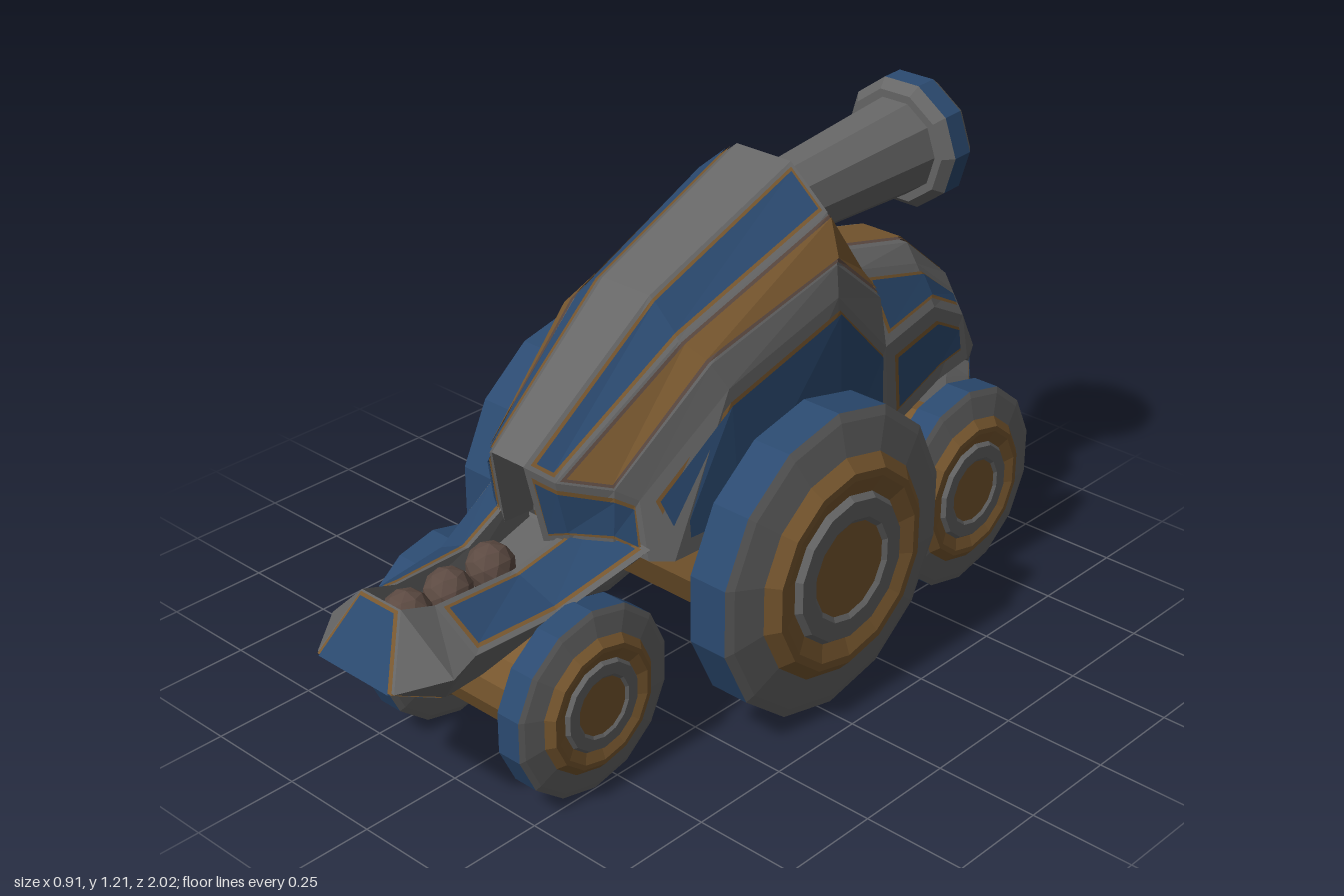
import * as THREE from 'three';

const mat = (color) => new THREE.MeshStandardMaterial({ color, flatShading: true, side: THREE.DoubleSide });

export function createModel() {
  const root = new THREE.Group();
  const grey = mat(0x666666), blue = mat(0x2b4a70), brown = mat(0x7a5930), iron = mat(0x5c4a42);
  const add = (name, geo, m, parent = root) => {
    const mesh = new THREE.Mesh(geo, m);
    mesh.name = name;
    parent.add(mesh);
    return mesh;
  };
  const rail = (...pts) => pts.map((p) => new THREE.Vector3(...p));
  const mirror = (r) => r.map((p) => new THREE.Vector3(-p.x, p.y, p.z));

  // Skin between two rails that have the same number of points
  function skin(a, b) {
    const pos = [];
    const push = (...vs) => vs.forEach((v) => pos.push(v.x, v.y, v.z));
    for (let i = 0; i + 1 < a.length; i++) push(a[i], b[i], a[i + 1], b[i], b[i + 1], a[i + 1]);
    const g = new THREE.BufferGeometry();
    g.setAttribute('position', new THREE.Float32BufferAttribute(pos, 3));
    g.computeVertexNormals();
    return g;
  }

  // Shrinks a pair of rails by a margin in units and lifts it off the surface
  function inset(a, b, margin, lift) {
    const n = a.length - 1;
    const trim = (r) => r.map((p, i) => {
      if (i > 0 && i < n) return p.clone();
      const q = r[i === 0 ? 1 : n - 1];
      return p.clone().lerp(q, Math.min(0.3, margin / Math.max(p.distanceTo(q), 0.001)));
    });
    const ta = trim(a), tb = trim(b), ra = [], rb = [];
    for (let i = 0; i <= n; i++) {
      const across = tb[i].clone().sub(ta[i]);
      const along = a[Math.min(i + 1, n)].clone().sub(a[Math.max(i - 1, 0)])
        .add(b[Math.min(i + 1, n)]).sub(b[Math.max(i - 1, 0)]);
      const up = across.clone().cross(along).normalize().multiplyScalar(lift);
      const t = Math.min(0.35, margin / Math.max(across.length(), 0.001));
      ra.push(ta[i].clone().lerp(tb[i], t).add(up));
      rb.push(tb[i].clone().lerp(ta[i], t).add(up));
    }
    return [ra, rb];
  }

  // Grey plate, optionally with a trimmed coloured panel
  function plate(name, a, b, m = null, margin = 0.016) {
    const g = new THREE.Group();
    g.name = name;
    root.add(g);
    add('frame', skin(a, b), grey, g);
    if (!m) return;
    add('trim', skin(...inset(a, b, margin, 0.004)), m === brown ? iron : brown, g);
    add('panel', skin(...inset(a, b, margin + 0.008, 0.008)), m, g);
  }
  function pair(name, a, b, m, margin) {
    plate(name + 'Left', a, b, m, margin);
    plate(name + 'Right', mirror(b), mirror(a), m, margin);
  }
  const centre = (name, a, m, margin) => plate(name, mirror(a), a, m, margin);

  // Main armour: rails run from the front to the back of the hump
  const A = rail([0.048, 0.72, 0.56], [0.07, 1.0, 0.2], [0.08, 1.18, -0.24], [0.08, 0.91, -0.41]);
  const B = rail([0.1, 0.685, 0.52], [0.155, 0.92, 0.2], [0.188, 1.09, -0.24], [0.125, 0.87, -0.43]);
  const C = rail([0.175, 0.655, 0.42], [0.22, 0.875, 0.17], [0.245, 0.99, -0.21], [0.18, 0.81, -0.45]);
  const D = rail([0.2, 0.62, 0.37], [0.245, 0.815, 0.14], [0.26, 0.92, -0.2], [0.225, 0.71, -0.42]);
  const E = rail([0.265, 0.48, 0.33], [0.275, 0.48, 0.14], [0.275, 0.48, -0.2], [0.25, 0.5, -0.41]);
  centre('spine', A);
  pair('upperBand', A.slice(0, 3), B.slice(0, 3), blue, 0.01);
  pair('upperBandBack', A.slice(2), B.slice(2));
  pair('middleBand', B, C, brown, 0.006);
  pair('shoulderBand', C, D);
  pair('sidePanel', D, E, blue, 0.03);

  // Front of the hump: recess under the spine, cheeks and fenders
  const F = rail([0.06, 0.53, 0.52], [0.11, 0.54, 0.49], [0.18, 0.53, 0.43], [0.235, 0.49, 0.38]);
  const recess = rail([0.055, 0.53, 0.44], [0.048, 0.72, 0.44]);
  centre('recessBack', recess);
  pair('recessWall', recess, [F[0], A[0]]);
  pair('frontCheek', [A[0], B[0], C[0], D[0]], F, blue, 0.016);
  pair('frontFender', [D[0], D[0]], [F[3], E[0]]);

  // Rear hood, starting on the back edge of the hump
  const T = [A[3], ...rail([0.08, 0.85, -0.67], [0.075, 0.715, -0.835], [0.07, 0.56, -0.89])];
  const U = [B[3], ...rail([0.118, 0.81, -0.66], [0.112, 0.69, -0.815], [0.105, 0.54, -0.88])];
  const V = [D[3], ...rail([0.178, 0.715, -0.66], [0.16, 0.64, -0.8], [0.145, 0.53, -0.87])];
  const W = [E[3], ...rail([0.2, 0.53, -0.66], [0.18, 0.53, -0.8], [0.155, 0.5, -0.84])];
  centre('hoodRidge', T, brown, 0.014);
  pair('hoodEdge', T, U);
  pair('hoodShoulder', U.slice(0, 3), V.slice(0, 3), blue, 0.022);
  pair('hoodShoulderEnd', U.slice(2), V.slice(2));
  pair('hoodWindow', V.slice(0, 3), W.slice(0, 3), blue, 0.035);
  pair('hoodWindowEnd', V.slice(2), W.slice(2));

  // Belly plate
  centre('belly', [...E, ...W.slice(1)].reverse());

  // Tail guard hanging from the hood
  const tailC = [T[3], ...rail([0.068, 0.49, -0.92], [0.06, 0.3, -1.0], [0.055, 0.08, -0.975])];
  const tailM = [U[3], ...rail([0.105, 0.48, -0.885], [0.1, 0.3, -0.94], [0.1, 0.06, -0.92])];
  const tailS = [W[3], ...rail([0.158, 0.46, -0.84], [0.16, 0.3, -0.85], [0.15, 0.09, -0.84])];
  centre('tailJoint', tailC.slice(0, 2));
  centre('tailRidge', tailC.slice(1), brown, 0.012);
  pair('tailBevel', tailC, tailM);
  pair('tailSide', tailM, tailS, blue, 0.016);
  pair('tailTop', [V[3], V[3]], [W[3], U[3]]);
  const tailI = rail([0.12, 0.5, -0.8], [0.12, 0.46, -0.8], [0.12, 0.3, -0.8], [0.11, 0.06, -0.84]);
  centre('tailInside', [...tailI].reverse());
  pair('tailInsideBevel', tailS, tailI);
  centre('tailBottom', [tailC[3], tailM[3], tailI[3]]);
  pair('tailBottomCorner', [tailM[3], tailM[3]], [tailS[3], tailI[3]]);

  // Ammunition tray
  const I = rail([0.06, 0.54, 0.92], [0.06, 0.51, 0.83], [0.068, 0.505, 0.62], [0.1, 0.57, 0.42]);
  const O = rail([0.19, 0.42, 0.9], [0.168, 0.43, 0.82], [0.19, 0.44, 0.6], [0.24, 0.52, 0.38]);
  const P = rail([0.12, 0.33, 0.865], [0.13, 0.345, 0.77], [0.145, 0.4, 0.6], [0.18, 0.46, 0.37]);
  const lip = rail([0.06, 0.54, 0.92], [0.12, 0.4, 1.0], [0.12, 0.33, 0.865]);
  const floor = rail([0.055, 0.47, 0.91], [0.055, 0.45, 0.82], [0.06, 0.46, 0.62], [0.09, 0.49, 0.42]);
  pair('trayArmTip', I.slice(0, 2), O.slice(0, 2));
  pair('trayArm', I.slice(1), O.slice(1), blue, 0.012);
  pair('traySide', O, P);
  centre('trayUnderside', [...P].reverse());
  pair('trayInside', floor, I);
  centre('trayFloor', floor);
  centre('trayLip', [...lip].reverse(), blue, 0.004);
  pair('trayCorner', [lip[1], lip[1], lip[2]], [lip[0], O[0], O[0]]);
  [[0.62, 0.487], [0.74, 0.477], [0.855, 0.475]].forEach(([z, y]) =>
    add('cannonball', new THREE.IcosahedronGeometry(0.056, 1), iron).position.set(0, y, z));

  // Ten-sided barrel pointing backwards
  const barrel = new THREE.Group();
  barrel.name = 'barrel';
  barrel.position.set(0, 1.038, -0.22);
  barrel.rotation.x = -Math.PI / 2 + 0.05;
  root.add(barrel);
  const turned = (name, pts, m, parent, sides, start) =>
    add(name, new THREE.LatheGeometry(pts.map((p) => new THREE.Vector2(...p)), sides, start), m, parent);
  const barrelBands = [
    ['tube', grey, [[0.09, 0], [0.12, 0.49]]],
    ['muzzleBack', grey, [[0.12, 0.49], [0.14, 0.49], [0.162, 0.515]]],
    ['muzzleRing', blue, [[0.162, 0.515], [0.162, 0.57]]],
    ['muzzleFace', grey, [[0.162, 0.57], [0.14, 0.598], [0.075, 0.598], [0.065, 0.4], [0, 0.4]]],
  ];
  for (const [part, m, pts] of barrelBands) turned(part, pts, m, barrel, 10, Math.PI / 10);

  // Wheels: bands of [radius, position across the width], both relative
  const bands = [
    ['innerRing', brown, [[0.4, 0], [0.64, 0], [0.73, 0.14]]],
    ['innerRim', grey, [[0.73, 0.14], [0.94, 0.22], [1, 0.27]]],
    ['tread', blue, [[1, 0.27], [1, 0.75]]],
    ['outerRim', grey, [[1, 0.75], [0.94, 0.79], [0.73, 0.87]]],
    ['outerRing', brown, [[0.73, 0.87], [0.65, 1], [0.6, 1], [0.49, 0.93]]],
    ['hub', grey, [[0.49, 0.93], [0.46, 1], [0.34, 1], [0.31, 0.96]]],
    ['hubCap', brown, [[0.31, 0.96], [0, 0.96]]],
  ];
  function axle(name, R, x0, x1, z, axleR) {
    const g = new THREE.Group();
    g.name = name;
    g.position.set(0, R + 0.007, z);
    root.add(g);
    for (const s of [1, -1]) {
      const wheel = new THREE.Group();
      wheel.name = s > 0 ? 'leftWheel' : 'rightWheel';
      wheel.rotation.z = -s * Math.PI / 2;
      g.add(wheel);
      for (const [part, m, pts] of bands)
        turned(part, pts.map(([r, t]) => [r * R, x0 + t * (x1 - x0)]), m, wheel, 14, Math.PI / 2);
    }
    const shaft = [[R * 0.64, -x0], [axleR, -x0 + 0.03], [axleR, x0 - 0.03], [R * 0.64, x0]];
    turned('shaft', shaft, brown, g, 14, Math.PI / 2).rotation.z = -Math.PI / 2;
  }
  axle('frontAxle', 0.224, 0.15, 0.28, 0.565, 0.135);
  axle('middleAxle', 0.37, 0.25, 0.457, -0.035, 0.225);
  axle('rearAxle', 0.257, 0.18, 0.32, -0.672, 0.155);

  return root;
}
